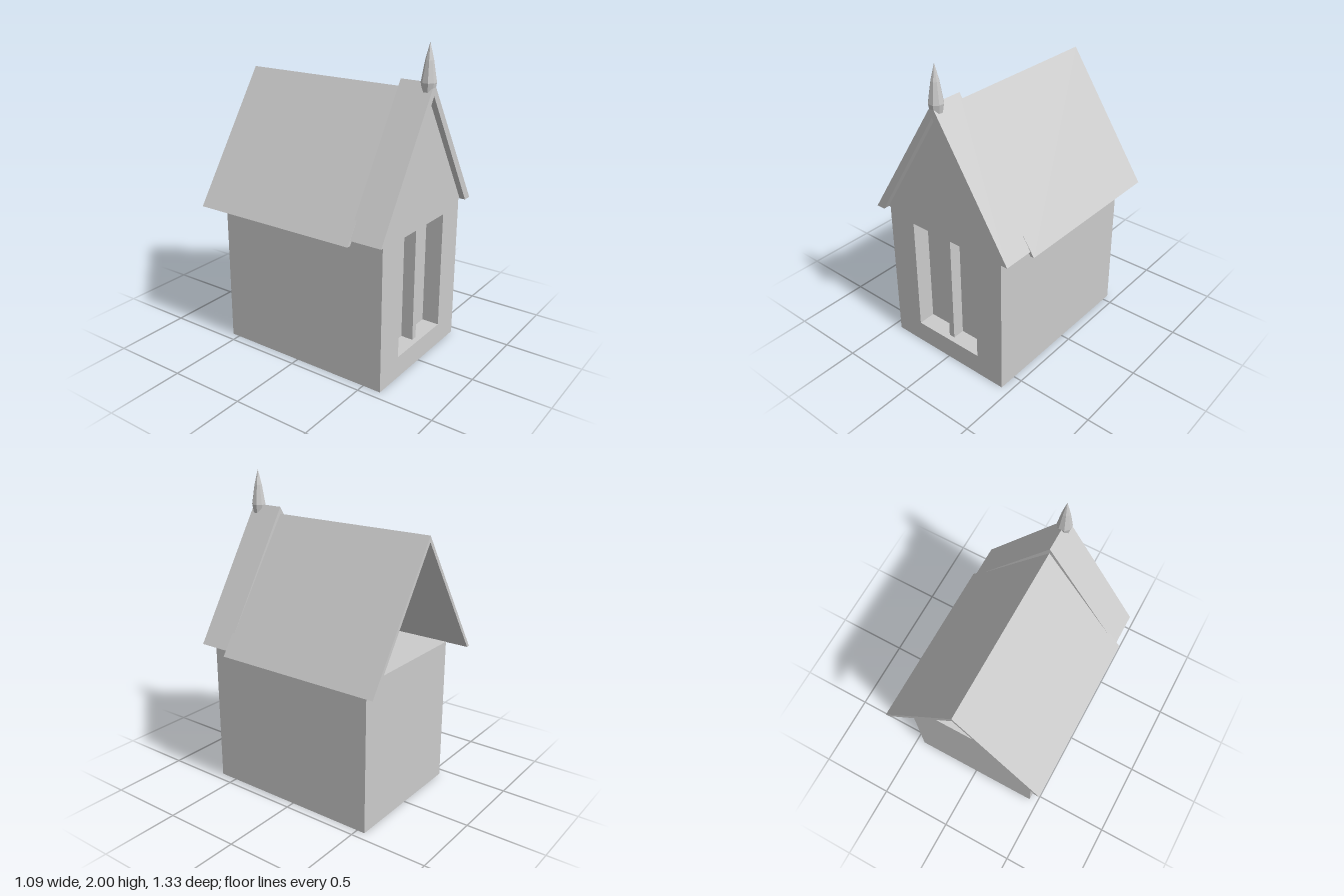
import * as THREE from 'three';

const material = new THREE.MeshStandardMaterial({ color: 0xcccccc, flatShading: true });

function polygon(points) {
  return new THREE.Shape(points.map(([x, y]) => new THREE.Vector2(x, y)));
}

// Extrude an x-y outline from z0 to z1
function slab(shape, z0, z1) {
  const geometry = new THREE.ExtrudeGeometry(shape, { depth: z1 - z0, bevelEnabled: false });
  return geometry.translate(0, 0, z0);
}

function box(x0, x1, y0, y1, z0, z1) {
  const geometry = new THREE.BoxGeometry(x1 - x0, y1 - y0, z1 - z0);
  return geometry.translate((x0 + x1) / 2, (y0 + y1) / 2, (z0 + z1) / 2);
}

// Pitched roof shell: inverted V with eaves cut level
function roofShape(ridge, innerRidge, eave, innerEave, base) {
  return polygon([
    [-eave, base], [-innerEave, base], [0, innerRidge],
    [innerEave, base], [eave, base], [0, ridge],
  ]);
}

export function createModel() {
  const group = new THREE.Group();
  const add = (name, geometry) => {
    const mesh = new THREE.Mesh(geometry, material);
    mesh.name = name;
    group.add(mesh);
  };

  const halfWidth = 0.443, wallTop = 0.955, front = 0.62, recess = 0.505;

  // Walls: solid block behind a front panel with a window opening
  add('wallBlock', box(-halfWidth, halfWidth, 0, wallTop, -0.553, recess));
  const panel = polygon([[-halfWidth, 0], [halfWidth, 0], [halfWidth, wallTop], [-halfWidth, wallTop]]);
  panel.holes.push(polygon([[-0.247, 0.142], [-0.247, 0.91], [0.247, 0.91], [0.247, 0.142]]));
  add('frontWall', slab(panel, recess, front));

  // Upright bar in the middle of the window
  add('windowMullion', box(-0.02, 0.02, 0.142, 0.91, recess, 0.585));

  // Triangular gable above the window
  add('gable', slab(polygon([[-0.46, wallTop], [0.46, wallTop], [0, 1.7]]), 0.58, front));

  // Long main roof, open at the back, and the raised front roof
  add('mainRoof', slab(roofShape(1.732, 1.694, 0.545, 0.52, 0.922), -0.665, 0.453));
  add('frontRoof', slab(roofShape(1.776, 1.7, 0.52, 0.46, 0.953), 0.437, 0.658));

  // Eight-sided spike on the front ridge
  const profile = [[0, 1.69], [0.031, 1.69], [0.046, 1.775], [0.025, 1.9], [0, 2]]
    .map(([x, y]) => new THREE.Vector2(x, y));
  add('finial', new THREE.LatheGeometry(profile, 8, Math.PI / 8).translate(0, 0, front));

  return group;
}
